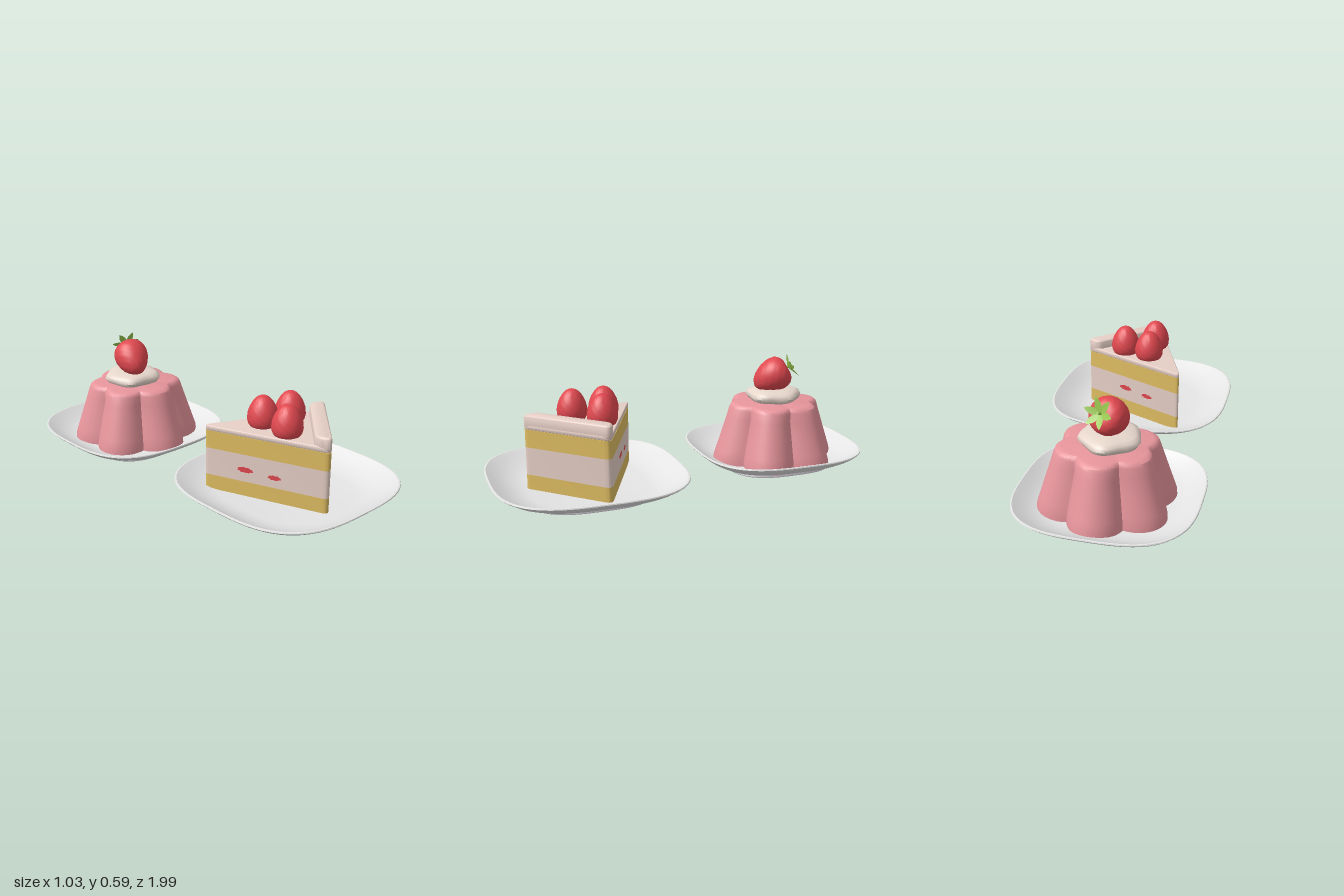
import * as THREE from 'three';
import { mergeVertices, toCreasedNormals } from 'three/addons/utils/BufferGeometryUtils.js';

const mat = (name, color, side = THREE.FrontSide) => {
  const m = new THREE.MeshStandardMaterial({ color, side });
  m.name = name;
  return m;
};
const M = {
  plate: mat('plate white', 0xe4e4e4),
  foot: mat('foot white', 0xe8e1ea),
  pudding: mat('pudding pink', 0xe7959c),
  cream: mat('cake cream', 0xe6cfc6),
  sponge: mat('sponge yellow', 0xdfbd62),
  dollop: mat('whipped cream', 0xeadacf),
  berry: mat('berry red', 0xe0484f),
  leaf: mat('leaf green', 0x98c750, THREE.DoubleSide),
};

function add(parent, name, geo, material, x = 0, y = 0, z = 0) {
  const mesh = new THREE.Mesh(geo, material);
  mesh.name = name;
  mesh.position.set(x, y, z);
  parent.add(mesh);
  return mesh;
}

// Lathe whose rings are reshaped by a radius rule(angle, y)
function shapedLathe(points, segments, rule, crease = 0.6) {
  let g = new THREE.LatheGeometry(points.map(p => new THREE.Vector2(p[0], p[1])), segments);
  const p = g.attributes.position;
  for (let i = 0; i < p.count; i++) {
    const k = rule(Math.atan2(p.getZ(i), p.getX(i)), p.getY(i));
    p.setX(i, p.getX(i) * k);
    p.setZ(i, p.getZ(i) * k);
  }
  g.deleteAttribute('uv');
  g.deleteAttribute('normal');
  g = mergeVertices(g, 1e-5);
  return toCreasedNormals(g, crease);
}

const squircle = a =>
  Math.pow(Math.abs(Math.cos(a)) ** 3 + Math.abs(Math.sin(a)) ** 3, -1 / 3);

// Rounded-square plate with a thin foot ring
function makePlate(name, x, z, s) {
  const g = new THREE.Group();
  g.name = name;
  const body = [[0, 0.02], [0.325, 0.02], [0.365, 0.029], [0.405, 0.043], [0.445, 0.063],
    [0.475, 0.083], [0.487, 0.094], [0.485, 0.099], [0.478, 0.1], [0.455, 0.086],
    [0.42, 0.066], [0.38, 0.048], [0.335, 0.035], [0.3, 0.03], [0, 0.03]];
  const ring = [[0.308, 0.022], [0.308, 0.003], [0.312, 0], [0.322, 0], [0.326, 0.004], [0.326, 0.022]];
  const scale = pts => pts.map(p => [p[0] * s, p[1]]);
  add(g, 'plateBody', shapedLathe(scale(body), 80, squircle), M.plate);
  add(g, 'plateFoot', shapedLathe(scale(ring), 80, squircle), M.foot);
  g.position.set(x, 0, z);
  return g;
}

// Strawberry with its tip towards +y
function makeBerry(name) {
  const g = new THREE.Group();
  g.name = name;
  const curve = new THREE.SplineCurve([[0, -0.088], [0.045, -0.087], [0.078, -0.065], [0.09, -0.025],
    [0.082, 0.025], [0.06, 0.07], [0.032, 0.1], [0, 0.112]].map(p => new THREE.Vector2(...p)));
  const pts = curve.getPoints(26).map(p => [Math.max(0, p.x), p.y]);
  const dimples = (a, y) => 1 + 0.014 * Math.sin(10 * a) * Math.sin(y * 150);
  add(g, 'berryFlesh', shapedLathe(pts, 40, dimples, 0.9), M.berry);
  return g;
}

// Polygon with softened corners, in x and z
function softPolygon(pts, d) {
  const s = new THREE.Shape();
  const v = pts.map(p => new THREE.Vector2(p[0], p[1]));
  v.forEach((c, i) => {
    const toward = q => c.clone().add(q.clone().sub(c).setLength(d));
    const a = toward(v[(i + v.length - 1) % v.length]);
    const b = toward(v[(i + 1) % v.length]);
    if (i === 0) s.moveTo(a.x, a.y); else s.lineTo(a.x, a.y);
    s.quadraticCurveTo(c.x, c.y, b.x, b.y);
  });
  s.closePath();
  return s;
}

// Horizontal slab between two heights
function slab(shape, y0, y1, bevel) {
  const g = new THREE.ExtrudeGeometry(shape, {
    depth: y1 - y0 - 2 * bevel, curveSegments: 8, bevelEnabled: bevel > 0,
    bevelSize: bevel, bevelThickness: bevel, bevelOffset: -bevel, bevelSegments: 4,
  });
  g.rotateX(Math.PI / 2);
  g.translate(0, y1 - bevel, 0);
  return toCreasedNormals(g, 0.6);
}

function makeCake() {
  const g = new THREE.Group();
  g.name = 'cakeSlice';
  const tip = [-0.248, 0.197], right = [0.338, 0.458], front = [-0.012, 0.812];
  const wedge = softPolygon([tip, right, front], 0.04);
  add(g, 'lowerSponge', slab(wedge, 0.018, 0.105, 0), M.sponge);
  add(g, 'creamFilling', slab(wedge, 0.105, 0.245, 0), M.cream);
  add(g, 'upperSponge', slab(wedge, 0.245, 0.335, 0), M.sponge);
  add(g, 'creamTop', slab(wedge, 0.335, 0.36, 0.004), M.cream);

  // Raised border along the outer edge
  const mix = (a, b, t) => [a[0] + (b[0] - a[0]) * t, a[1] + (b[1] - a[1]) * t];
  const border = softPolygon([mix(right, tip, 0.13), right, front, mix(front, tip, 0.13)], 0.035);
  add(g, 'creamBorder', slab(border, 0.338, 0.407, 0.014), M.cream);

  // Fruit pieces showing on both cut faces
  const blob = new THREE.Shape();
  for (let i = 0; i < 18; i++) {
    const a = i / 18 * Math.PI * 2, r = 1 + 0.16 * Math.sin(i * 2.7);
    blob[i ? 'lineTo' : 'moveTo'](Math.cos(a) * r, Math.sin(a) * r);
  }
  const blobGeo = new THREE.ShapeGeometry(blob);
  for (const [end, sign] of [[right, 1], [front, -1]]) {
    const n = new THREE.Vector2(end[1] - tip[1], -(end[0] - tip[0])).normalize().multiplyScalar(sign);
    for (const [t, y, w, h] of [[0.35, 0.168, 0.04, 0.014], [0.58, 0.158, 0.033, 0.012]]) {
      const p = mix(tip, end, sign > 0 ? 0.92 - t : t);
      const piece = add(g, 'fruitPiece', blobGeo, M.berry, p[0] + n.x * 0.003, y + (sign > 0 ? 0.012 : 0), p[1] + n.y * 0.003);
      piece.rotation.y = Math.atan2(n.x, n.y);
      piece.scale.set(w, h, 1);
    }
  }

  // Three berries on top
  for (const [x, z] of [[-0.033, 0.393], [0.11, 0.437], [-0.033, 0.553]]) {
    const b = makeBerry('cakeBerry');
    b.position.set(x, 0.417, z);
    b.scale.setScalar(0.84);
    g.add(b);
  }
  return g;
}

function makePudding() {
  const g = new THREE.Group();
  g.name = 'pudding';
  // Six-lobed body
  const profile = [[0, 0.027], [0.338, 0.027], [0.335, 0.06], [0.322, 0.1], [0.292, 0.19], [0.264, 0.275],
    [0.25, 0.318], [0.243, 0.332], [0.23, 0.341], [0.215, 0.344], [0, 0.344]];
  const lobes = (a, y) => {
    const depth = y > 0.3 ? 0.18 : 0.22;
    return 1 - depth + depth * Math.abs(Math.sin(3 * a));
  };
  add(g, 'puddingBody', shapedLathe(profile, 96, lobes, 0.5), M.pudding);

  // Whipped cream
  const cream = [[0, 0.338], [0.11, 0.34], [0.135, 0.352], [0.145, 0.37], [0.138, 0.388],
    [0.118, 0.398], [0.09, 0.403], [0.05, 0.408], [0, 0.41]];
  const wobble = (a, y) => 1 + 0.05 * Math.sin(5 * a + y * 25) + 0.02 * Math.sin(3 * a);
  add(g, 'creamDollop', shapedLathe(cream, 60, wobble, 1), M.dollop, -0.015, 0, -0.005);

  // Tilted berry with its leaves
  const berry = makeBerry('puddingBerry');
  const leaf = new THREE.Shape();
  leaf.moveTo(0, 0);
  leaf.quadraticCurveTo(0.034, 0.036, 0, 0.08);
  leaf.quadraticCurveTo(-0.034, 0.036, 0, 0);
  const leafGeo = new THREE.ShapeGeometry(leaf, 8);
  const lp = leafGeo.attributes.position;
  for (let i = 0; i < lp.count; i++) {
    lp.setZ(i, Math.abs(lp.getX(i)) * 0.5 + lp.getY(i) ** 2 * 3);
  }
  leafGeo.computeVertexNormals();
  for (let i = 0; i < 6; i++) {
    const holder = new THREE.Group();
    holder.name = 'leafHolder';
    holder.rotation.y = i * Math.PI / 3 + 0.3;
    holder.position.y = -0.089;
    add(holder, 'leaf', leafGeo, M.leaf).rotation.x = Math.PI / 2 + 0.15;
    berry.add(holder);
  }
  const stem = add(berry, 'stem', new THREE.CylinderGeometry(0.006, 0.006, 0.03, 8), M.leaf, 0, -0.1, 0);
  stem.rotation.z = 0.1;
  berry.quaternion.setFromUnitVectors(new THREE.Vector3(0, 1, 0),
    new THREE.Vector3(-0.06, -0.11, 0.18).normalize());
  berry.position.set(-0.016, 0.474, 0);
  g.add(berry);
  g.position.set(-0.065, 0, -0.563);
  return g;
}

export function createModel() {
  const model = new THREE.Group();
  model.name = 'desserts';
  model.add(makePlate('frontPlate', 0.025, 0.507, 1));
  model.add(makePlate('backPlate', -0.08, -0.563, 0.897));
  model.add(makeCake());
  model.add(makePudding());
  return model;
}
